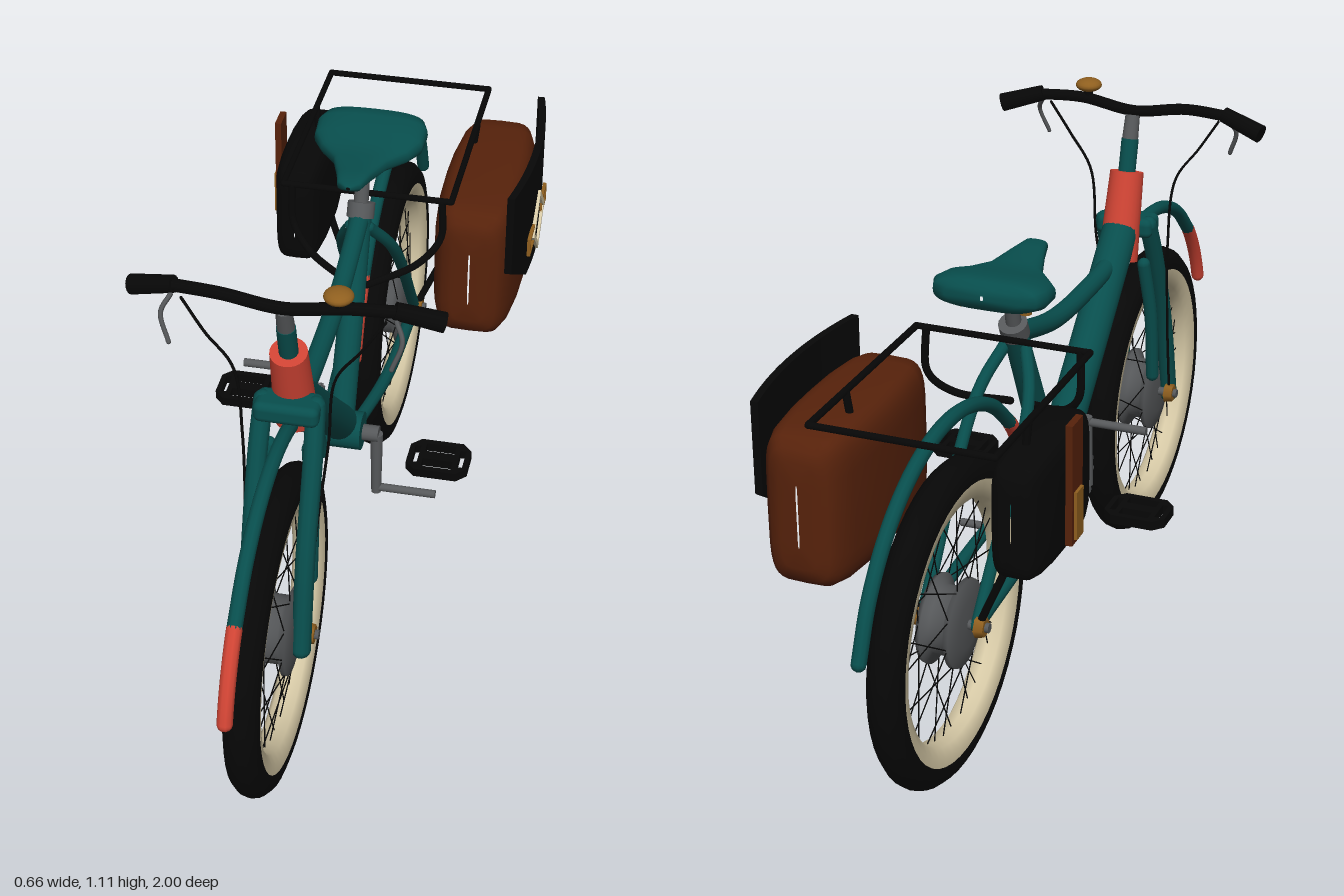
import * as THREE from 'three';
import { mergeGeometries } from 'three/addons/utils/BufferGeometryUtils.js';
import { RoundedBoxGeometry } from 'three/addons/geometries/RoundedBoxGeometry.js';

const mat = (name, color) => {
  const m = new THREE.MeshStandardMaterial({ color });
  m.name = name;
  return m;
};
const V = (p) => new THREE.Vector3(...p);

export function createModel() {
  const teal = mat('teal paint', 0x084e4d), red = mat('red paint', 0xd04434);
  const black = mat('black rubber', 0x070707), cream = mat('cream rim', 0xd6c9a6);
  const brown = mat('brown leather', 0x57220b), gray = mat('gray metal', 0x56585a);
  const gold = mat('brass', 0x8f5f1f);

  const model = new THREE.Group();
  model.name = 'bicycle';
  const bike = new THREE.Group();
  bike.name = 'bicycleBody';
  bike.position.x = -0.022;
  model.add(bike);

  const add = (name, geo, m, pos = [0, 0, 0], parent = bike) => {
    const mesh = new THREE.Mesh(geo, m);
    mesh.name = name;
    mesh.position.set(...pos);
    parent.add(mesh);
    return mesh;
  };
  // Smooth tube through points, with rounded ends
  const tube = (name, m, pts, r, parent = bike, sides = 10) => {
    const parts = [new THREE.TubeGeometry(new THREE.CatmullRomCurve3(pts.map(V)), pts.length * 8, r, sides)];
    for (const p of [pts[0], pts[pts.length - 1]])
      parts.push(new THREE.SphereGeometry(r, sides, 6).translate(...p));
    return add(name, mergeGeometries(parts), m, [0, 0, 0], parent);
  };
  // Straight, optionally tapered rod from a to b
  const rodGeo = (a, b, r1, r2 = r1, sides = 16) => {
    const va = V(a), d = V(b).sub(va);
    const q = new THREE.Quaternion().setFromUnitVectors(new THREE.Vector3(0, 1, 0), d.clone().normalize());
    return new THREE.CylinderGeometry(r2, r1, d.length(), sides)
      .applyQuaternion(q).translate(va.x + d.x / 2, va.y + d.y / 2, va.z + d.z / 2);
  };
  const rod = (name, m, a, b, r1, r2, sides, parent = bike) =>
    add(name, rodGeo(a, b, r1, r2, sides), m, [0, 0, 0], parent);
  const ring = (pts) => new THREE.LatheGeometry(pts.map((p) => new THREE.Vector2(...p)), 48).rotateZ(Math.PI / 2);
  // Superellipse loft towards -z, sections [z, half width, bottom, top]
  const loft = (sections, power) => {
    const N = 32, pos = [], idx = [], bend = (v) => Math.sign(v) * Math.abs(v) ** power;
    sections.forEach(([z, w, y0, y1], j) => {
      for (let i = 0; i < N; i++) {
        const a = (i / N) * Math.PI * 2;
        pos.push(bend(Math.cos(a)) * w, (y0 + y1) / 2 + bend(Math.sin(a)) * (y1 - y0) / 2, z);
        if (j) {
          const k = (i + 1) % N, p = (j - 1) * N, q = j * N;
          idx.push(p + i, q + i, q + k, p + i, q + k, p + k);
        }
      }
    });
    const g = new THREE.BufferGeometry();
    g.setAttribute('position', new THREE.Float32BufferAttribute(pos, 3));
    g.setIndex(idx);
    g.computeVertexNormals();
    return g;
  };

  // Wheels with whitewall rims, drums and spokes
  const AY = 0.342, FZ = 0.58, RZ = -0.575;
  for (const [name, z] of [['frontWheel', FZ], ['rearWheel', RZ]]) {
    const w = new THREE.Group();
    w.name = name;
    w.position.set(0, AY, z);
    bike.add(w);
    add('tyre', ring([[0.282, -0.032], [0.3, -0.037], [0.32, -0.031], [0.334, -0.016], [0.338, 0],
      [0.334, 0.016], [0.32, 0.031], [0.3, 0.037], [0.282, 0.032]]), black, [0, 0, 0], w);
    add('rim', ring([[0.288, 0.034], [0.27, 0.032], [0.25, 0.022], [0.245, 0],
      [0.25, -0.022], [0.27, -0.032], [0.288, -0.034]]), cream, [0, 0, 0], w);
    const spokes = [];
    for (let i = 0; i < 36; i++) {
      const s = i % 2 ? 1 : -1, a = (i / 36) * Math.PI * 2, b = a + (i % 4 < 2 ? 0.5 : -0.5);
      spokes.push(rodGeo([s * 0.03, Math.sin(b) * 0.089, Math.cos(b) * 0.089],
        [0, Math.sin(a) * 0.25, Math.cos(a) * 0.25], 0.0014, 0.0014, 5));
    }
    add('spokes', mergeGeometries(spokes), black, [0, 0, 0], w);
    add('hubDrum', ring([[0, -0.042], [0.05, -0.041], [0.09, -0.034], [0.092, -0.025], [0.07, -0.015], [0.07, 0.015],
      [0.092, 0.025], [0.09, 0.034], [0.05, 0.041], [0, 0.042]]), gray, [0, 0, 0], w);
    rod('axle', gray, [-0.085, 0, 0], [0.085, 0, 0], 0.01, 0.01, 12, w);
    for (const s of [-1, 1]) rod('axleNut', gold, [s * 0.058, 0, 0], [s * 0.077, 0, 0], 0.024, 0.02, 6, w);

    // Mudguard arc with a red leading tip
    const arc = (a0, a1) => Array.from({ length: 9 }, (_, i) => {
      const a = THREE.MathUtils.degToRad(a0 + ((a1 - a0) * i) / 8);
      return [0, Math.sin(a) * 0.43, Math.cos(a) * 0.43];
    });
    tube('mudguard', teal, arc(42, 162), 0.015, w);
    tube('mudguardTip', red, arc(18, 42), 0.0155, w);
  }

  // Frame
  rod('headTube', red, [0, 0.74, 0.392], [0, 0.93, 0.445], 0.044, 0.037, 24);
  rod('steererTop', teal, [0, 0.92, 0.442], [0, 1.0, 0.463], 0.019);
  rod('stem', gray, [0, 0.99, 0.46], [0, 1.05, 0.478], 0.018, 0.016);
  tube('downTube', teal, [[0, 0.81, 0.41], [0, 0.62, 0.21], [0, 0.42, -0.005]], 0.04, bike, 18);
  tube('topTube', teal, [[0, 0.755, 0.39], [0, 0.745, 0.22], [0, 0.755, 0], [0, 0.81, -0.215]], 0.021, bike, 14);
  rod('seatTube', teal, [0, 0.4, -0.015], [0, 0.82, -0.225], 0.03, 0.025);
  rod('seatClamp', gray, [0, 0.81, -0.22], [0, 0.84, -0.235], 0.03);
  rod('seatPost', gray, [0, 0.82, -0.225], [0, 0.94, -0.255], 0.016);
  rod('bottomBracket', teal, [-0.05, 0.395, -0.015], [0.05, 0.395, -0.015], 0.042, 0.042, 20);
  add('forkCrown', new RoundedBoxGeometry(0.13, 0.045, 0.07, 3, 0.015), teal, [0, 0.805, 0.455]);

  for (const s of [-1, 1]) {
    // Fork, stays, rack struts, control cables and brake levers
    tube('forkLeg', teal, [[s * 0.052, 0.81, 0.445], [s * 0.055, 0.71, 0.49], [s * 0.055, 0.53, 0.56], [s * 0.055, 0.325, 0.61]], 0.02);
    tube('forkBrace', teal, [[s * 0.04, 0.71, 0.455], [s * 0.05, 0.58, 0.48], [s * 0.05, 0.42, 0.5]], 0.015);
    tube('chainStay', teal, [[s * 0.03, 0.395, -0.03], [s * 0.055, 0.37, -0.25], [s * 0.058, AY, RZ]], 0.014);
    tube('seatStay', teal, [[s * 0.02, 0.79, -0.215], [s * 0.055, 0.7, -0.29], [s * 0.058, AY, RZ]], 0.013);
    tube('rackBrace', black, [[s * 0.165, 0.825, -0.29], [s * 0.163, 0.73, -0.29], [s * 0.12, 0.68, -0.26], [s * 0.02, 0.65, -0.2]], 0.008);
    tube('rackStrut', black, [[s * 0.185, 0.825, -0.62], [s * 0.15, 0.56, -0.6], [s * 0.065, 0.35, RZ]], 0.008);
    rod('grip', black, [s * 0.21, 1.077, 0.475], [s * 0.3, 1.05, 0.455], 0.017, 0.02);
    tube('brakeLever', gray, [[s * 0.215, 1.06, 0.485], [s * 0.23, 1.03, 0.505], [s * 0.213, 0.975, 0.52]], 0.005, bike, 6);
    tube('cable', black, [[s * 0.195, 1.055, 0.485], [s * 0.15, 0.985, 0.49], [s * 0.1, 0.91, 0.485], [s * 0.085, 0.75, 0.485],
      [s * 0.07, 0.55, 0.54], [s * 0.065, 0.36, 0.58]], 0.003, bike, 6);
    // Saddle rails and springs
    tube('saddleRail', black, [[0, 0.915, -0.25], [s * 0.04, 0.918, -0.28], [s * 0.066, 0.925, -0.33]], 0.006, bike, 6);
    rod('saddleSpring', gold, [s * 0.066, 0.908, -0.33], [s * 0.066, 0.93, -0.33], 0.012);
  }
  tube('handlebar', black, [[-0.22, 1.074, 0.474], [-0.12, 1.075, 0.484], [0, 1.058, 0.484],
    [0.12, 1.075, 0.484], [0.22, 1.074, 0.474]], 0.0125);
  add('bell', new THREE.SphereGeometry(0.029, 20, 10).scale(1, 0.5, 1), gold, [0.107, 1.104, 0.488]);
  rod('bellMount', black, [0.107, 1.07, 0.484], [0.107, 1.1, 0.488], 0.01);

  // Saddle
  add('saddle', loft([[-0.095, 0.004, 0.955, 0.962], [-0.105, 0.025, 0.947, 0.972], [-0.15, 0.036, 0.938, 0.972],
    [-0.22, 0.058, 0.925, 0.966], [-0.265, 0.095, 0.918, 0.969], [-0.3, 0.117, 0.916, 0.978],
    [-0.35, 0.12, 0.918, 0.987], [-0.38, 0.108, 0.925, 0.985], [-0.392, 0.08, 0.938, 0.974], [-0.394, 0.003, 0.95, 0.96]], 0.7), teal);

  // Toothed chainring with cut-outs
  const gear = new THREE.Shape();
  for (let i = 0; i < 96; i++) {
    const a = (i / 96) * Math.PI * 2, r = i % 4 < 2 ? 0.1 : 0.09;
    gear[i ? 'lineTo' : 'moveTo'](Math.cos(a) * r, Math.sin(a) * r);
  }
  for (let i = 0; i < 5; i++) {
    const a = (i / 5) * Math.PI * 2, h = new THREE.Path();
    h.absarc(0, 0, 0.077, a + 0.1, a + 1.15, false);
    h.absarc(0, 0, 0.032, a + 1.0, a + 0.25, true);
    h.closePath();
    gear.holes.push(h);
  }
  add('chainring', new THREE.ExtrudeGeometry(gear, { depth: 0.007, bevelEnabled: false }).rotateY(Math.PI / 2), gray, [-0.06, 0.383, -0.018]);

  // Cranks and pedals
  const rect = (path, x, y, w, h) => path.moveTo(x - w, y - h).lineTo(x + w, y - h).lineTo(x + w, y + h).lineTo(x - w, y + h).closePath();
  const pedalShape = new THREE.Shape([[-0.066, -0.03], [-0.045, -0.052], [0.045, -0.052], [0.066, -0.03],
    [0.066, 0.03], [0.045, 0.052], [-0.045, 0.052], [-0.066, 0.03]].map((p) => new THREE.Vector2(...p)));
  for (const [x, y, w, h] of [[0, 0.026, 0.032, 0.013], [0, -0.026, 0.032, 0.013], [-0.049, 0, 0.006, 0.028], [0.049, 0, 0.006, 0.028]]) {
    const hole = new THREE.Path();
    rect(hole, x, y, w, h);
    pedalShape.holes.push(hole);
  }
  const pedalGeo = new THREE.ExtrudeGeometry(pedalShape, { depth: 0.02, bevelEnabled: false }).rotateX(Math.PI / 2);
  rod('crankAxle', gray, [-0.085, 0.39, -0.018], [0.085, 0.39, -0.018], 0.018);
  for (const s of [-1, 1]) {
    const y = 0.39 - s * 0.148;
    rod('crank', gray, [s * 0.08, 0.39, -0.018], [s * 0.08, y - s * 0.012, -0.018], 0.014, 0.011);
    rod('pedalAxle', gray, [s * 0.08, y, -0.018], [s * 0.212, y, -0.018], 0.009);
    add('pedal', pedalGeo, black, [s * 0.229, 0.405, -0.028 + s * 0.078]);
  }

  // Luggage rack
  const corners = [[-0.185, -0.29], [0.185, -0.29], [0.185, -0.78], [-0.185, -0.78]];
  corners.forEach(([x, z], i) => {
    const [x2, z2] = corners[(i + 1) % 4];
    tube('rackRail', black, [[x, 0.828, z], [x2, 0.828, z2]], 0.007, bike, 8);
  });

  // Bags, pillow shaped and narrower towards both ends
  const bagGeo = (halfLength, halfWidth, y0, y1) => {
    const ends = [[1, 0.02, 0.3], [0.995, 0.4, 0.16], [0.96, 0.62, 0.08], [0.88, 0.78, 0.03], [0.7, 0.9, 0.01], [0.35, 0.98, 0], [0, 1, 0]];
    const half = (s) => ends.map(([t, w, inset]) =>
      [s * t * halfLength, w * halfWidth, y0 + inset * (y1 - y0), y1 - inset * (y1 - y0)]);
    return loft([...half(1), ...half(-1).reverse().slice(1)], 0.4);
  };
  add('largeBag', bagGeo(0.228, 0.098, 0.455, 0.785), brown, [0.225, 0, -0.535]);
  add('smallBag', bagGeo(0.157, 0.058, 0.535, 0.78), black, [-0.19, 0, -0.565]);

  // Curved black flap with a lower edge stepped towards the middle
  const flap = new THREE.BoxGeometry(0.016, 0.265, 0.44, 1, 1, 24);
  const fp = flap.attributes.position;
  for (let i = 0; i < fp.count; i++) {
    const z = Math.abs(fp.getZ(i));
    fp.setX(i, fp.getX(i) - 0.5 * z * z);
    if (fp.getY(i) < 0) fp.setY(i, -0.1325 + Math.max(0, z - 0.11) * 0.65);
  }
  flap.computeVertexNormals();
  add('largeFlap', flap, black, [0.335, 0.7075, -0.53]);

  // Diamond frame and buckles on the flap
  const frame = (name, m, w, h, t, turn, x, z) => {
    const s = new THREE.Shape(), hole = new THREE.Path();
    rect(s, 0, 0, w, h);
    rect(hole, 0, 0, w - t, h - t);
    s.holes.push(hole);
    add(name, new THREE.ExtrudeGeometry(s, { depth: 0.008, bevelEnabled: false }).rotateZ(turn).rotateY(Math.PI / 2), m, [x, 0.66, z]);
  };
  frame('diamondFrame', cream, 0.055, 0.055, 0.012, Math.PI / 4, 0.341, -0.52);
  for (const s of [-1, 1]) frame('buckle', gold, 0.035, 0.022, 0.006, 0, 0.339, -0.52 + s * 0.085);

  // Strap and buckle on the small bag
  add('smallStrap', new THREE.BoxGeometry(0.014, 0.25, 0.055), brown, [-0.257, 0.695, -0.57]);
  add('smallBuckle', new THREE.BoxGeometry(0.008, 0.1, 0.035), gold, [-0.266, 0.63, -0.57]);
  return model;
}
